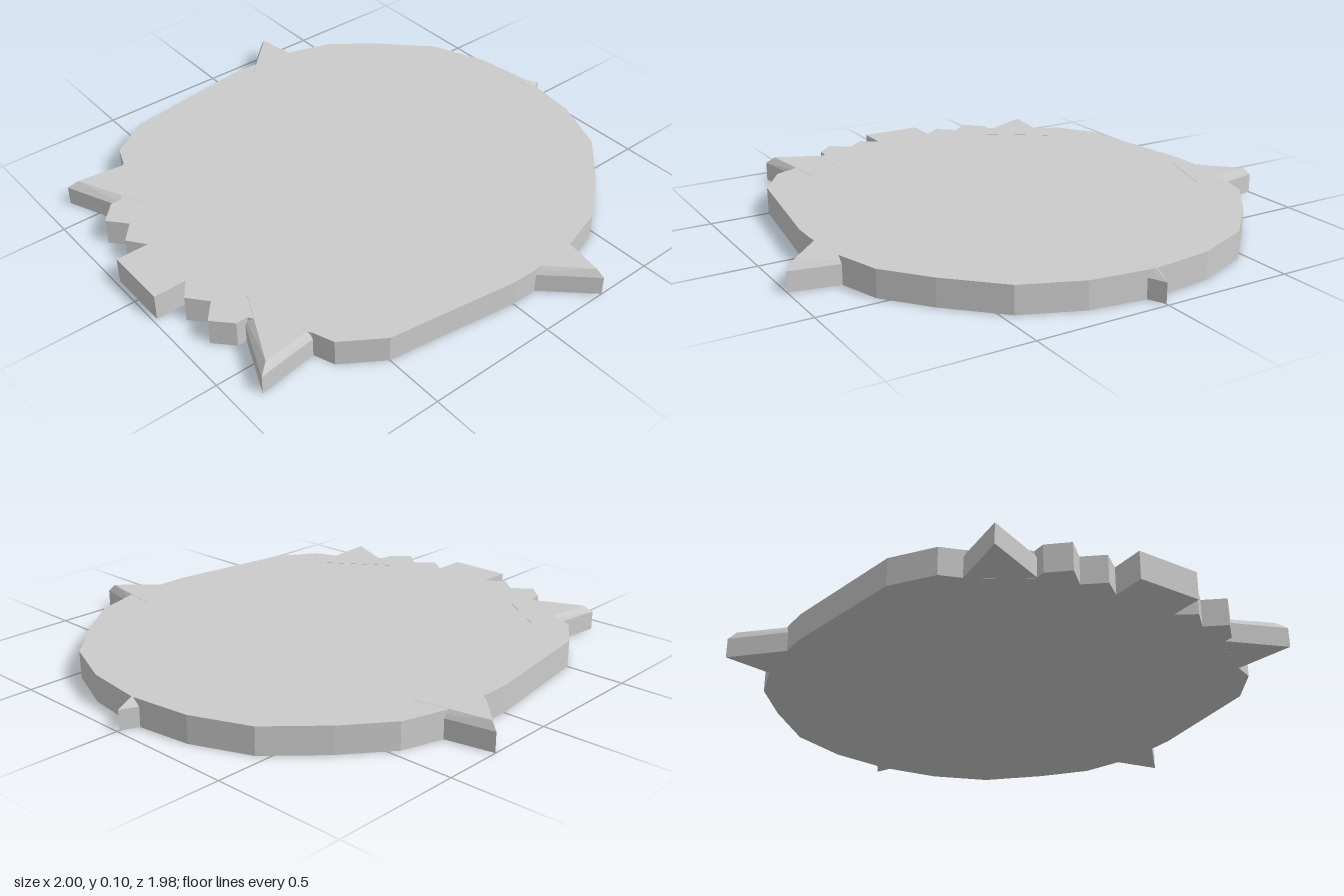
import * as THREE from 'three';
import { ConvexGeometry } from 'three/addons/geometries/ConvexGeometry.js';

const material = new THREE.MeshStandardMaterial({ color: 0xcccccc, flatShading: true });
const mirrorX = (pts) => pts.map(([x, z]) => [-x, z]);

// Right half of the plate outline as [x, z], from back centre to the front tab
const half = [
  [0.24, -0.9], [0.46, -0.81], [0.64, -0.63], [0.77, -0.465], [0.82, -0.3],
  [0.84, -0.1], [0.84, 0], [0.77, 0.5], [0.67, 0.65], [0.59, 0.68],
  [0.4, 0.8], [0.4, 0.845], [0.33, 0.91], [0.26, 0.85], [0.19, 0.91],
  [0.122, 0.86], [0.122, 0.985],
];

function makePlate() {
  const outline = [[0, -0.93], ...half, ...mirrorX(half).reverse()];
  const shape = new THREE.Shape(outline.map(([x, z]) => new THREE.Vector2(x, -z)));
  const geometry = new THREE.ExtrudeGeometry(shape, { depth: 0.103, bevelEnabled: false });
  geometry.rotateX(-Math.PI / 2);
  const mesh = new THREE.Mesh(geometry, material);
  mesh.name = 'plate';
  return mesh;
}

// Triangular spike: upright walls below, sloping bevel up to a smaller top triangle
function makeSpike(name, outer, inner) {
  const at = (pts, y) => pts.map(([x, z]) => new THREE.Vector3(x, y, z));
  const points = [...at(outer, 0.0005), ...at(outer, 0.075), ...at(inner, 0.104)];
  const mesh = new THREE.Mesh(new ConvexGeometry(points), material);
  mesh.name = name;
  return mesh;
}

export function createModel() {
  const group = new THREE.Group();
  group.name = 'spikedPlate';
  group.add(makePlate());

  // Each spike: [root, tip, root] at the walls, then at the top face
  const pairs = [
    ['SideSpike',
      [[0.69, -0.33], [1, -0.272], [0.77, -0.03]],
      [[0.69, -0.31], [0.972, -0.262], [0.77, -0.055]]],
    ['FrontSpike',
      [[0.577, 0.56], [0.622, 0.905], [0.31, 0.772]],
      [[0.562, 0.56], [0.597, 0.87], [0.31, 0.738]]],
  ];
  for (const [name, outer, inner] of pairs) {
    group.add(makeSpike('left' + name, outer, inner));
    group.add(makeSpike('right' + name, mirrorX(outer), mirrorX(inner)));
  }
  group.add(makeSpike('backSpike',
    [[-0.042, -0.9], [0, -0.99], [0.042, -0.9]],
    [[-0.018, -0.9], [0, -0.935], [0.018, -0.9]]));
  return group;
}
